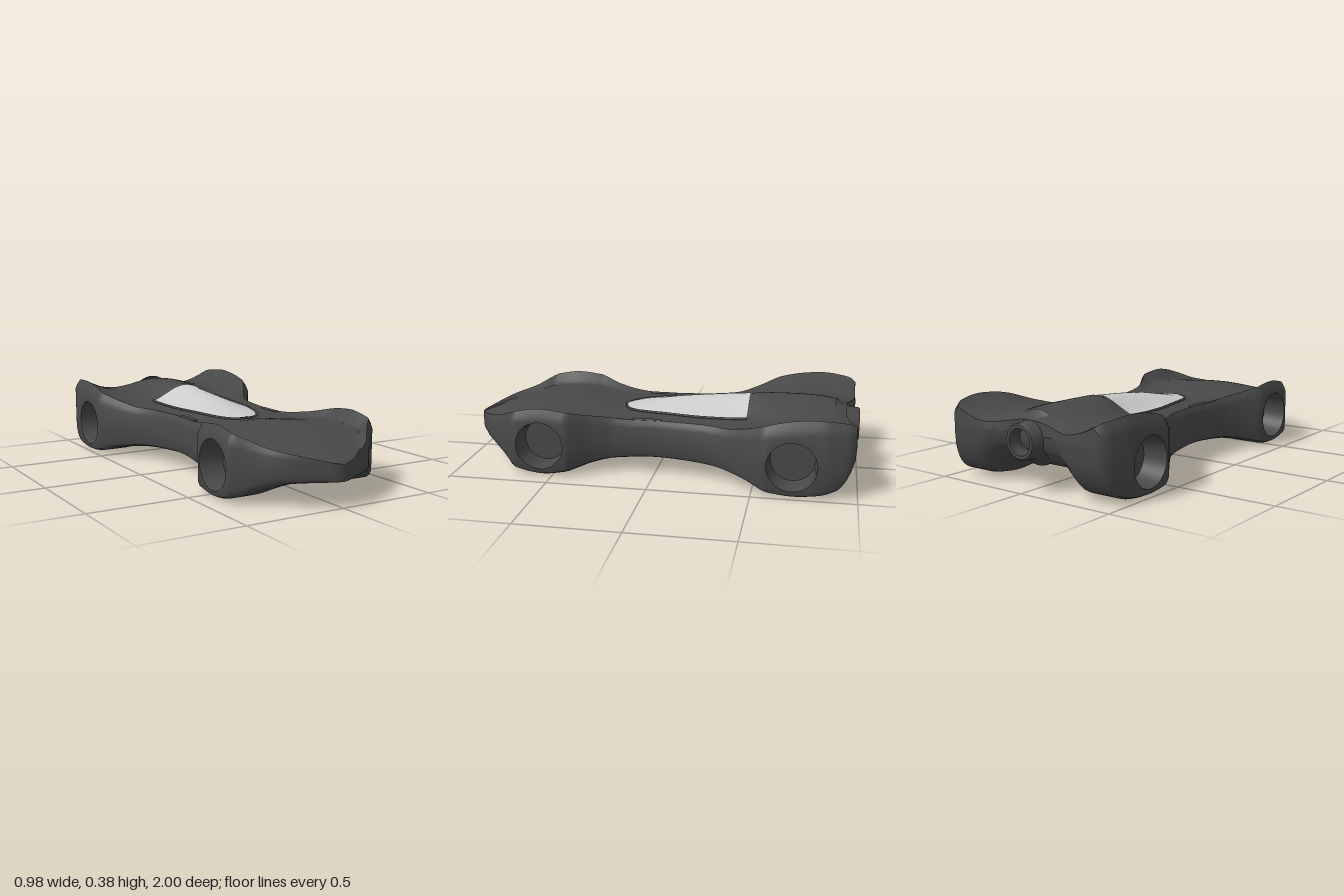
import * as THREE from 'three';
import { toCreasedNormals } from 'three/addons/utils/BufferGeometryUtils.js';

// Monotone smooth curve through [z, value] keys, z ascending
function track(...k) {
  const slope = (i) => (k[i + 1][1] - k[i][1]) / (k[i + 1][0] - k[i][0]);
  const m = k.map((_, i) => {
    if (i === 0) return slope(0);
    if (i === k.length - 1) return slope(i - 1);
    const a = slope(i - 1), b = slope(i);
    return a * b <= 0 ? 0 : (2 * a * b) / (a + b);
  });
  return (z) => {
    if (z <= k[0][0]) return k[0][1];
    let i = 0;
    while (i < k.length - 2 && z > k[i + 1][0]) i++;
    const h = k[i + 1][0] - k[i][0], t = Math.min(1, (z - k[i][0]) / h), s = 1 - t;
    return k[i][1] * (1 + 2 * t) * s * s + m[i] * h * t * s * s
      + k[i + 1][1] * (3 - 2 * t) * t * t - m[i + 1] * h * t * t * s;
  };
}

// Body lines along z: half width, rim, centre line, valley, underside, belly
const width = track([-0.98, 0.435], [-0.95, 0.46], [-0.9, 0.475], [-0.83, 0.488], [-0.57, 0.488], [-0.5, 0.45],
  [-0.4, 0.385], [-0.3, 0.33], [-0.2, 0.302], [0, 0.28], [0.2, 0.295], [0.3, 0.33], [0.4, 0.392], [0.43, 0.408],
  [0.69, 0.408], [0.74, 0.36], [0.8, 0.305], [0.85, 0.26], [0.9, 0.2], [0.95, 0.115], [0.98, 0.06], [0.995, 0.025], [1, 0]);
const rim = track([-0.98, 0.345], [-0.95, 0.365], [-0.8, 0.38], [-0.7, 0.372], [-0.6, 0.352], [-0.45, 0.3], [-0.35, 0.277],
  [0.1, 0.274], [0.3, 0.297], [0.45, 0.33], [0.56, 0.34], [0.68, 0.322], [0.8, 0.268], [0.9, 0.24], [1, 0.2]);
const centre = track([-0.98, 0.325], [-0.9, 0.35], [-0.7, 0.368], [-0.47, 0.371], [-0.45, 0.358], [-0.3, 0.345], [-0.1, 0.322],
  [0.05, 0.295], [0.2, 0.272], [0.3, 0.287], [0.45, 0.302], [0.6, 0.298], [0.8, 0.262], [0.9, 0.23], [1, 0.195]);
const valley = track([-0.98, 0.295], [-0.9, 0.312], [-0.7, 0.32], [-0.45, 0.285], [-0.2, 0.278], [0.2, 0.268],
  [0.5, 0.283], [0.65, 0.275], [0.8, 0.243], [0.9, 0.22], [1, 0.19]);
const under = track([-0.98, 0.18], [-0.95, 0.1], [-0.9, 0.04], [-0.8, 0.01], [-0.7, 0.001], [-0.6, 0.01], [-0.45, 0.05],
  [-0.3, 0.07], [0, 0.08], [0.2, 0.07], [0.3, 0.055], [0.45, 0.015], [0.55, 0.001], [0.6, 0.005], [0.7, 0.03],
  [0.8, 0.08], [0.88, 0.11], [1, 0.12]);
const belly = track([-0.98, 0.2], [-0.92, 0.14], [-0.8, 0.1], [-0.5, 0.085], [0.5, 0.085], [0.8, 0.105], [1, 0.12]);
// Hump width, start of the raised lip and its curve, as parts of the half width
const hump = track([-0.7, 0.57], [-0.45, 0.58], [0, 0.85], [1, 0.84]);
const lip = track([-0.7, 0.55], [-0.3, 0.6], [0.3, 0.85], [1, 0.84]);
const lipPower = track([-0.5, 1.8], [0.2, 1.1]);
const canopyWidth = track([-0.45, 0.2], [-0.2, 0.185], [0, 0.15], [0.1, 0.122], [0.16, 0.085], [0.19, 0.045], [0.2, 0]);

const WELLS = [{ z: 0.56, r: 0.12, name: 'frontWheelWell' }, { z: -0.69, r: 0.12, name: 'rearWheelWell' }];
const WELL_Y = 0.155;
const rimX = (z) => width(z) * 0.935;
const smooth = THREE.MathUtils.smoothstep;

// Height of the upper surface
function topY(x, z) {
  const u = rimX(z) > 0 ? Math.min(1, Math.abs(x) / rimX(z)) : 0;
  const v = valley(z), c = Math.cos((Math.PI / 2) * Math.min(u / hump(z), 1));
  const t = Math.max(0, (u - lip(z)) / (1 - lip(z)));
  return v + (centre(z) - v) * c * c + (rim(z) - v) * Math.pow(t, lipPower(z));
}

// Half cross-section from the top centre, over the rim, down to the belly centre
const TOP = 32, HOLE = TOP + 3;
function section(z) {
  const w = width(z), b = under(z), r = rim(z), a = Math.max(belly(z), b), pts = [];
  for (let i = 0; i <= TOP; i++) {
    const x = (rimX(z) * i) / TOP;
    pts.push([x, topY(x, z)]);
  }
  const shoulder = r - (r - b) * 0.18, e = Math.min(0.03, (r - b) * 0.2), f = Math.min(0.03, w * 0.2);
  const well = WELLS.find((k) => Math.abs(z - k.z) < k.r);
  const half = well ? Math.sqrt(well.r ** 2 - (z - well.z) ** 2) : 0;
  const mid = Math.min(Math.max(WELL_Y, b + e), shoulder);
  pts.push([w * 0.975, r - (r - b) * 0.09], [w, shoulder], [w, mid + half], [w, mid - half], [w, b + e]);
  pts.push([w - f * 0.3, b + e * 0.3], [w - f, b]);
  for (let i = 0; i <= 8; i++) {
    const t = i / 8;
    pts.push([w * (0.66 - 0.3 * t), b + (a - b) * smooth(t, 0, 1)]);
  }
  pts.push([w * 0.18, a], [0, a]);
  // The tail is notched forward between the rear pods
  return pts.map(([x, y]) => [x, y, z + 0.045 * (1 - smooth(x, 0.1, 0.3)) * smooth(-z, 0.8, 0.98)]);
}

function bodyGeometry() {
  const zs = [];
  for (let i = 0; i <= 110; i++) {
    const z = 1 - (1.98 * i) / 110;
    if (!WELLS.some((k) => Math.abs(z - k.z) <= k.r)) zs.push(z);
  }
  zs.push(0.985, 0.993, 0.997);
  for (const k of WELLS) for (let i = 0; i <= 32; i++) zs.push(k.z + k.r * Math.cos((Math.PI * i) / 32));
  zs.sort((p, q) => q - p);
  const rings = zs.map(section);
  // Tail cap
  rings.push(rings[rings.length - 1].map(([x, , z]) => [x * 0.96, 0.26, z - 0.004]));
  const pos = [], tri = (s, ...ps) => {
    for (const p of s > 0 ? ps : ps.reverse()) pos.push(s * p[0], p[1], p[2]);
  };
  for (let j = 0; j < rings.length - 1; j++) {
    for (let i = 0; i < rings[j].length - 1; i++) {
      if (i === HOLE - 0 && j < zs.length - 1) {
        const m = (zs[j] + zs[j + 1]) / 2;
        if (WELLS.some((k) => Math.abs(m - k.z) < k.r)) continue;
      }
      const a = rings[j][i], b = rings[j][i + 1], c = rings[j + 1][i], d = rings[j + 1][i + 1];
      for (const s of [1, -1]) {
        tri(s, a, b, c);
        tri(s, b, d, c);
      }
    }
  }
  const g = new THREE.BufferGeometry();
  g.setAttribute('position', new THREE.Float32BufferAttribute(pos, 3));
  return toCreasedNormals(g, 0.65);
}

// Canopy glass follows the upper surface, slightly domed above it
function canopyPoint(u, z) {
  const x = u * canopyWidth(z);
  return new THREE.Vector3(x, topY(x, z) + 0.004 + 0.005 * (1 - u ** 4), z);
}
function canopyGeometry() {
  const g = new THREE.PlaneGeometry(2, 1, 32, 48), p = g.attributes.position;
  for (let i = 0; i < p.count; i++) {
    const t = p.getY(i) + 0.5;
    const q = canopyPoint(p.getX(i), 0.2 - 0.65 * (1 - t) ** 2);
    p.setXYZ(i, q.x, q.y, -0.25 - q.z);
  }
  // Rows run front to back, so turn the sheet to face upward
  for (let i = 0; i < p.count; i++) p.setZ(i, -0.25 - p.getZ(i));
  g.computeVertexNormals();
  return g;
}

export function createModel() {
  const car = new THREE.Group();
  car.name = 'car';
  const dark = new THREE.MeshStandardMaterial({ color: 0x484848 });
  const darkOpen = new THREE.MeshStandardMaterial({ color: 0x484848, side: THREE.DoubleSide });
  const glass = new THREE.MeshStandardMaterial({ color: 0xcccccc, side: THREE.DoubleSide });
  const add = (name, geometry, material = dark) => {
    const mesh = new THREE.Mesh(geometry, material);
    mesh.name = name;
    car.add(mesh);
    return mesh;
  };
  const lathe = (pts, n = 64) => toCreasedNormals(
    new THREE.LatheGeometry(pts.map(([x, y]) => new THREE.Vector2(x, y)), n).toNonIndexed(), 0.6);

  add('body', bodyGeometry());
  add('canopy', canopyGeometry(), glass);

  // Thin frame around the canopy
  const edge = [];
  for (let i = -24; i <= 24; i++) {
    const t = Math.abs(i) / 24, z = 0.2 - 0.65 * t * t;
    edge.push(canopyPoint(Math.sign(i), z));
  }
  add('canopyFrame', new THREE.TubeGeometry(new THREE.CatmullRomCurve3(edge), 120, 0.006, 8));

  // Wheel wells and side slots, mirrored
  for (const s of [1, -1]) {
    for (const k of WELLS) {
      const well = add(k.name, lathe([[0, -0.12], [k.r * 0.9, -0.12], [k.r, 0]]), darkOpen);
      well.rotation.z = (-s * Math.PI) / 2;
      well.position.set(s * width(k.z), WELL_Y, k.z);
    }
    const slot = add('sideSlot', new THREE.CapsuleGeometry(0.012, 0.125, 4, 12));
    slot.rotation.x = Math.PI / 2;
    slot.scale.z = 0.5;
    slot.position.set(s * 0.247, topY(0.247, 0.045), 0.045);
  }

  // Hollow tail pipe
  const pipe = add('tailPipe', lathe([[0.13, -0.08], [0.105, -0.05], [0.088, -0.02], [0.084, 0.035], [0.078, 0.043],
    [0.062, 0.043], [0.055, -0.05], [0, -0.05]], 48), darkOpen);
  pipe.rotation.x = -Math.PI / 2;
  pipe.position.set(0, 0.235, -0.957);
  return car;
}
